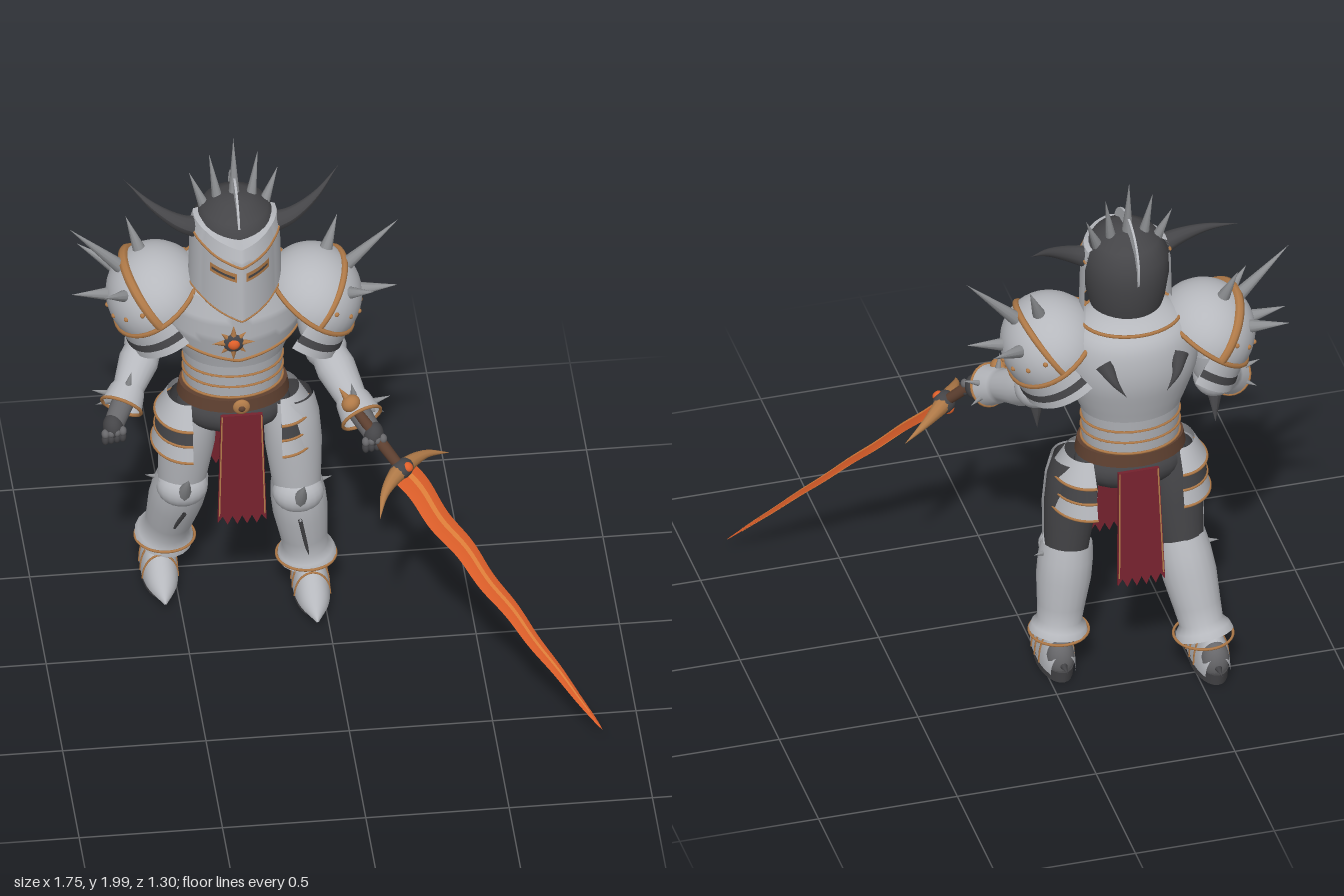
import * as THREE from 'three';
import { toCreasedNormals } from 'three/addons/utils/BufferGeometryUtils.js';
import { ParametricGeometry } from 'three/addons/geometries/ParametricGeometry.js';

const paint = (name, color) => Object.assign(new THREE.MeshStandardMaterial({ color, side: THREE.DoubleSide }), { name });
const steel = paint('steel', 0xb6b8bd), spikeSteel = paint('spike steel', 0x8f9194), dark = paint('blackened steel', 0x454548);
const bronze = paint('bronze', 0xb07a48), leather = paint('leather', 0x5e4030), cloth = paint('crimson cloth', 0x76222e);
const bladeMat = paint('orange blade', 0xe0602a), ridgeMat = paint('blade ridge', 0xe8843c), chain = paint('chain mail', 0x68686b);

const V = (x, y, z) => new THREE.Vector3(x, y, z);
const CX = -0.31; // body centre line
const UP = V(0, 1, 0);

function add(parent, name, geo, mat, x = 0, y = 0, z = 0) {
  const m = new THREE.Mesh(geo, mat);
  m.name = name;
  m.position.set(x, y, z);
  parent.add(m);
  return m;
}
// Turned shape from a to b; profile holds [fraction, radius]
function turned(p, name, mat, a, b, profile, phi = 0, arc = Math.PI * 2, seg = 20) {
  const len = a.distanceTo(b);
  const m = add(p, name, new THREE.LatheGeometry(profile.map(([t, r]) => new THREE.Vector2(r, t * len)), seg, phi, arc), mat, a.x, a.y, a.z);
  m.quaternion.setFromUnitVectors(UP, b.clone().sub(a).normalize());
  return m;
}
const spike = (p, name, mat, a, b, r) => turned(p, name, mat, a, b, [[0, 0], [0, r], [1, 0]], 0, Math.PI * 2, 10);
const tube = (p, name, mat, pts, r) => add(p, name, new THREE.TubeGeometry(new THREE.CatmullRomCurve3(pts), 40, r, 6), mat);
// Tube that tapers to a point at its end, or at both ends
function horn(p, name, mat, pts, r, both = false) {
  const n = 20, k = 10, curve = new THREE.CatmullRomCurve3(pts), geo = new THREE.TubeGeometry(curve, n, r, k);
  const pos = geo.attributes.position, v = V(0, 0, 0);
  for (let i = 0; i <= n; i++) {
    const c = curve.getPointAt(i / n), s = both ? 1 - Math.abs(2 * i / n - 1) : Math.pow(1 - i / n, 1.25);
    for (let j = 0; j <= k; j++) {
      const id = i * (k + 1) + j;
      v.fromBufferAttribute(pos, id).sub(c).multiplyScalar(s).add(c);
      pos.setXYZ(id, v.x, v.y, v.z);
    }
  }
  geo.computeVertexNormals();
  return add(p, name, geo, mat);
}
// Surface from f(u, v) returning a point
const surface = (p, name, mat, f, nu, nv, crease) => {
  const g = new ParametricGeometry((u, v, t) => t.copy(f(u, v)), nu, nv);
  return add(p, name, crease ? toCreasedNormals(g, crease) : g, mat);
};
const ball = (p, name, mat, c, sx, sy, sz) => {
  const m = add(p, name, new THREE.SphereGeometry(1, 20, 14), mat, c.x, c.y, c.z);
  m.scale.set(sx, sy, sz);
  return m;
};
const ring = (p, name, mat, x, y, z, rx, rz, r) => {
  const m = add(p, name, new THREE.TorusGeometry(1, r / rx, 6, 36), mat, x, y, z);
  m.rotation.x = Math.PI / 2;
  m.scale.set(rx, rz, rx);
  return m;
};

function head(root) {
  const g = new THREE.Group(); g.name = 'head'; root.add(g);
  const skullRows = [[.11, 1.42], [.135, 1.5], [.15, 1.6], [.146, 1.68], [.115, 1.735], [.06, 1.768], [0, 1.776]];
  const skull = add(g, 'skullCap', new THREE.LatheGeometry(skullRows.map(a => new THREE.Vector2(...a)), 32), dark, CX, 0, -.28);
  skull.scale.z = 1.1;
  const visor = (a, y, off = 0) => {
    const t = (y - 1.39) / .31, e = Math.max(0, 1 - Math.abs(a) / .9);
    const k = (t < .8 ? 1 - .05 * t : .96 - (t - .8) * .5) + off;
    return V(CX + .163 * Math.sin(a) * k, y, -.28 + (.175 * Math.cos(a) + .05 * e) * k);
  };
  const top = a => 1.705 - .02 * Math.max(0, 1 - Math.abs(a) / 1.2), bottom = a => 1.435 - .045 * Math.max(0, 1 - Math.abs(a) / 1.1);
  const brow = a => 1.665 - .045 * Math.max(0, 1 - Math.abs(a) / 1.3);
  const angle = u => (u - .5) * 3.5;
  surface(g, 'visor', steel, (u, v) => visor(angle(u), THREE.MathUtils.lerp(bottom(angle(u)), top(angle(u)), v)), 40, 12);
  surface(g, 'browPlate', steel, (u, v) => visor(angle(u), THREE.MathUtils.lerp(brow(angle(u)), top(angle(u)), v), .035), 40, 6);
  surface(g, 'browShelf', steel, (u, v) => {
    const a = angle(u), inner = V(CX + .125 * Math.sin(a), top(a) + .008, -.28 + .137 * Math.cos(a));
    return visor(a, top(a), .035).lerp(inner, v);
  }, 40, 2);
  const line = (f, off) => Array.from({ length: 25 }, (_, i) => visor(angle(i / 24), f(angle(i / 24)), off));
  tube(g, 'browTrim', bronze, line(brow, .035), .005);
  tube(g, 'chinTrim', bronze, line(bottom, .01), .003);
  for (const s of [-1, 1]) {
    surface(g, 'eyeFrame', bronze, (u, v) => visor(s * (.1 + u * .6), 1.553 + v * .036 + u * .008, .012), 8, 1);
    surface(g, 'eyeSlit', dark, (u, v) => visor(s * (.15 + u * .5), 1.566 + v * .01 + u * .008, .02), 8, 1);
    horn(g, 'sideHorn', dark, [V(CX + s * .11, 1.65, -.265), V(CX + s * .19, 1.68, -.262), V(CX + s * .28, 1.728, -.3), V(CX + s * .375, 1.788, -.39)], .044);
  }
  const crest = add(g, 'crestDisc', new THREE.CylinderGeometry(.157, .157, .008, 40), steel, CX, 1.675, -.295);
  crest.rotation.z = Math.PI / 2;
  for (const [dx, y] of [[-.155, 1.85], [-.085, 1.925], [0, 1.985], [.085, 1.925], [.155, 1.85]])
    spike(g, 'crownSpike', spikeSteel, V(CX + dx * .55, 1.67, -.29), V(CX + dx, y, -.325), .028);
}

function torso(root) {
  const g = new THREE.Group(); g.name = 'torso'; root.add(g);
  const Z = -.34, rows = [[.16, .92], [.165, 1.04], [.2, 1.14], [.233, 1.24], [.238, 1.33], [.215, 1.41], [.15, 1.46], [.09, 1.48]];
  const body = add(g, 'cuirass', new THREE.LatheGeometry(new THREE.SplineCurve(rows.map(a => new THREE.Vector2(...a))).getPoints(24), 36), steel, CX, 0, Z);
  body.scale.z = .8;
  const radius = y => {
    const i = Math.max(1, rows.findIndex(r => r[1] >= y)), [a, b] = [rows[i - 1], rows[i]];
    return a[0] + (b[0] - a[0]) * (y - a[1]) / (b[1] - a[1]);
  };
  const at = (a, y, off) => V(CX + (radius(y) + off) * Math.sin(a), y, Z + (radius(y) * .8 + off) * Math.cos(a));
  const edge = a => 1.135 + .075 * Math.abs(a) / 1.5;
  surface(g, 'breastplate', steel, (u, v) => { const a = (u - .5) * 3; return at(a, THREE.MathUtils.lerp(edge(a), 1.41, v), .012); }, 32, 10);
  tube(g, 'breastplateTrim', bronze, Array.from({ length: 21 }, (_, i) => at((i - 10) * .15, edge((i - 10) * .15), .013)), .006);
  ring(g, 'gorgetTrim', bronze, CX, 1.445, Z, .178, .143, .007);
  for (const y of [1.06, 1.015, .97]) {
    const band = add(g, 'waistLame', new THREE.CylinderGeometry(.178, .17, .045, 32, 1, true), steel, CX, y, Z);
    band.scale.z = .8;
    ring(g, 'waistTrim', bronze, CX, y - .021, Z, .174, .139, .005);
  }
  // Sun badge
  for (let i = 0; i < 8; i++) {
    const a = i * Math.PI / 4, r = i % 2 ? .062 : .075;
    spike(g, 'badgeRay', bronze, V(-.33, 1.235, -.143), V(-.33 + Math.sin(a) * r, 1.235 + Math.cos(a) * r, -.14), .02);
  }
  ball(g, 'badgeRim', dark, V(-.33, 1.235, -.138), .036, .036, .014);
  ball(g, 'badgeCore', bladeMat, V(-.33, 1.235, -.132), .022, .022, .016);
  for (const s of [-1, 1]) horn(g, 'backSpike', dark, [V(CX + s * .135, 1.35, -.485), V(CX + s * .11, 1.3, -.535), V(CX + s * .07, 1.24, -.55)], .034);
  // Belt and hips
  const belt = add(g, 'belt', new THREE.CylinderGeometry(.188, .196, .046, 36), leather, CX, .917, -.335);
  belt.scale.z = .76;
  ball(g, 'buckle', bronze, V(-.297, .917, -.187), .03, .03, .014);
  ball(g, 'buckleBoss', leather, V(-.297, .917, -.178), .013, .013, .01);
  ball(g, 'hips', dark, V(CX, .84, -.335), .2, .1, .135);
  for (const s of [-1, 1]) {
    const x = CX + s * .155;
    [[.855, .08, steel, .075, .118], [.785, .065, dark, .108, .118], [.722, .062, steel, .116, .129]].forEach(([y, h, mat, rTop, r]) => {
      const t = add(g, 'tasset', new THREE.CylinderGeometry(rTop, r, h, 20, 1, true, s > 0 ? 0 : Math.PI, Math.PI), mat, x, y, -.33);
      t.scale.z = 1.17;
      const trim = add(g, 'tassetTrim', new THREE.TorusGeometry(r, .005, 6, 20, Math.PI), bronze, x, y - h / 2, -.33);
      trim.rotation.set(Math.PI / 2, 0, -s * Math.PI / 2);
      trim.scale.x = 1.17;
    });
  }
  // Hanging cloths with ragged hems
  const shape = new THREE.Shape();
  shape.moveTo(-.073, 0); shape.lineTo(-.085, -.45);
  for (let i = 1; i < 10; i++) shape.lineTo(-.085 + i * .017, i % 2 ? -.425 : -.46);
  shape.lineTo(.085, -.45); shape.lineTo(.073, 0);
  for (const [z, tilt] of [[-.185, -.03], [-.489, .075]]) {
    const c = new THREE.Group(); c.name = 'hangingCloth'; g.add(c);
    c.position.set(-.297, .885, z); c.rotation.x = tilt;
    add(c, 'clothPanel', new THREE.ExtrudeGeometry(shape, { depth: .014, bevelEnabled: false }), cloth, 0, 0, -.007);
    for (const s of [-1, 1]) {
      const b = add(c, 'clothBorder', new THREE.BoxGeometry(.005, .42, .016), bronze, s * .074, -.212, 0);
      b.rotation.z = s * .026;
    }
  }
}

function pauldron(root, s, c) {
  const g = new THREE.Group(); g.name = s > 0 ? 'leftPauldron' : 'rightPauldron'; root.add(g);
  g.position.copy(c); g.rotation.z = -s * .63;
  add(g, 'shoulderDome', new THREE.SphereGeometry(1, 32, 16, 0, Math.PI * 2, 0, 1.6), steel).scale.set(.176, .18, .196);
  ring(g, 'domeTrim', bronze, 0, 0, 0, .178, .198, .009);
  const ridge = add(g, 'crownRidge', new THREE.TorusGeometry(.19, s > 0 ? .012 : .018, 8, 32, Math.PI), bronze, s * .01, 0, 0);
  ridge.rotation.y = Math.PI / 2; ridge.scale.y = .96;
  const start = s > 0 ? -.15 : Math.PI - .15;
  [[-.025, .06, steel, .18], [-.065, .034, dark, .188], [-.095, .034, steel, .192]].forEach(([y, h, mat, r]) => {
    const l = add(g, 'shoulderLame', new THREE.CylinderGeometry(r - .006, r + .006, h, 28, 1, true, start, Math.PI + .3), mat, 0, y, 0);
    l.scale.z = 1.05;
  });
  for (let i = 0; i < 7; i++) {
    const a = (i - 3) * .45, r = .161;
    ball(g, 'stud', bronze, V(s * Math.cos(a) * r, .07, Math.sin(a) * r * 1.11), .009, .009, .009);
  }
  for (const t of [V(.305, .3, 0), V(.26, .1, -.18), V(.3, .03, .02), V(.2, .12, .17), V(.1, .28, -.08)]) {
    t.x *= s;
    const n = t.clone().normalize();
    spike(root, 'shoulderSpike', spikeSteel, c.clone().addScaledVector(n, .15), c.clone().add(t), .028);
  }
}

function arm(root, s, shoulder, elbow, wrist, hand, elbowTip) {
  const g = new THREE.Group(); g.name = s > 0 ? 'leftArm' : 'rightArm'; root.add(g);
  turned(g, 'upperArm', steel, elbow, shoulder, [[0, .062], [.5, .075], [1, .075]]);
  ball(g, 'elbowGuard', steel, elbow, .075, .075, .075);
  spike(g, 'elbowSpike', dark, elbow, elbowTip, .042);
  turned(g, 'forearm', steel, elbow, wrist, [[0, .06], [.3, .07], [.7, .055], [.75, .062], [1, .074]]);
  const rim = add(g, 'cuffTrim', new THREE.TorusGeometry(.073, .006, 6, 24), bronze, wrist.x, wrist.y, wrist.z);
  rim.quaternion.setFromUnitVectors(V(0, 0, 1), wrist.clone().sub(elbow).normalize());
  const mid = elbow.clone().lerp(wrist, .85);
  for (const [x, y, z] of [[s * .12, .04, 0], [s * .1, -.05, -.03], [-s * .02, .12, .02]]) spike(g, 'cuffSpike', spikeSteel, mid, mid.clone().add(V(x, y, z)), .024);
  turned(g, 'wrist', chain, wrist.clone().lerp(elbow, .1), hand, [[0, .04], [1, .035]]);
  ball(g, 'palm', dark, hand, .036, .045, .045);
  for (let i = 0; i < 4; i++) {
    const f = hand.clone().add(V((i - 1.5) * .02, -.01 + i * .003, .03));
    ball(g, 'knuckle', chain, f, .014, .017, .017);
    ball(g, 'finger', dark, f.add(V(0, -.025, -.002)), .013, .022, .016);
  }
}

function leg(root, s, hip, knee, ankle) {
  const g = new THREE.Group(); g.name = s > 0 ? 'leftLeg' : 'rightLeg'; root.add(g);
  turned(g, 'thigh', dark, knee, hip, [[0, .076], [.5, .092], [.8, .09], [1, .075]]);
  turned(g, 'thighPlate', steel, knee, hip, [[.05, .084], [.5, .1], [.8, .098], [1, .084]], -1.5, 3);
  turned(g, 'greave', steel, ankle, knee, [[-.05, .104], [.03, .096], [.1, .078], [.3, .084], [.65, .096], [.9, .096], [1.1, .09]]);
  const k = knee.clone().add(V(0, 0, .03));
  ball(g, 'kneeCap', steel, k, .09, .075, .078);
  spike(g, 'kneeSpike', spikeSteel, k.clone().add(V(0, .0, .05)), k.clone().add(V(.01, .105, .115)), .03);
  spike(g, 'kneeWing', spikeSteel, knee, knee.clone().add(V(s * .125, .01, -.03)), .03);
  ring(g, 'ankleTrim', bronze, ankle.x, ankle.y - .016, ankle.z, .104, .104, .005);
  turned(g, 'shinGroove', dark, ankle.clone().add(V(0, .03, .074)), knee.clone().add(V(0, -.08, .094)), [[0, .007], [1, .007]]);
  // Armoured shoe: shape holds length along the foot, half width and height
  const x = ankle.x + (s > 0 ? .012 : -.025), z = ankle.z;
  const form = new THREE.CatmullRomCurve3([V(-.1, .045, .08), V(-.04, .06, .14), V(.03, .064, .125), V(.1, .06, .085), V(.16, .046, .05), V(.25, .002, .004)]);
  const shell = (u, v, k = 1) => {
    const p = form.getPoint(v), a = u * Math.PI;
    return V(x + p.y * k * Math.cos(a), .035 + p.z * k * Math.sin(a), z + p.x);
  };
  surface(g, 'shoe', steel, shell, 16, 20);
  for (const v of [.28, .42, .56]) tube(g, 'shoeTrim', bronze, Array.from({ length: 9 }, (_, i) => shell(i / 8, v, 1.01)), .004);
  const sole = add(g, 'sole', new THREE.CylinderGeometry(.064, .06, .046, 24), dark, x, .023, z + .03);
  sole.scale.z = 2.3;
  ball(g, 'heel', chain, V(x, .08, z - .06), .05, .075, .05);
  spike(g, 'heelSpur', dark, V(x, .07, z - .08), V(x, .068, z - .155), .02);
}

function sword(root) {
  const g = new THREE.Group(); g.name = 'sword'; root.add(g);
  const d = V(.63, -.79, .5).normalize(), side = V(.638, 0, -.77);
  side.addScaledVector(d, -side.dot(d)).normalize();
  g.matrix.makeBasis(side, d, side.clone().cross(d)).setPosition(.235, .835, .15);
  g.matrix.decompose(g.position, g.quaternion, g.scale);
  const L = 1.13, wave = v => .009 * Math.sin(v * 26) * (1 - v), taper = v => Math.pow(1 - v, .62), thick = v => .013 * Math.sqrt(1 - v);
  surface(g, 'blade', bladeMat, (u, v) => {
    const a = u * Math.PI * 2;
    return V(Math.cos(a) * .064 * taper(v) + wave(v), v * L, Math.sin(a) * thick(v));
  }, 4, 60, .5);
  for (const s of [-1, 1]) surface(g, 'bladeRidge', ridgeMat, (u, v) => {
    const t = v * .93;
    return V((u - .5) * .024 * taper(t) + wave(t), t * L, s * (thick(t) + .001));
  }, 1, 60);
  horn(g, 'crossguard', bronze, [V(-.225, .055, 0), V(-.13, .0, 0), V(0, -.02, 0), V(.13, .0, 0), V(.225, .055, 0)], .034, true);
  ball(g, 'guardBoss', dark, V(0, -.02, 0), .05, .035, .04);
  for (const s of [-1, 1]) ball(g, 'guardGem', bladeMat, V(0, -.015, s * .035), .018, .018, .012);
  turned(g, 'grip', leather, V(0, -.3, 0), V(0, 0, 0), [[0, .016], [.5, .021], [1, .018]]);
  ball(g, 'pommel', bronze, V(0, -.31, 0), .034, .03, .034);
  spike(g, 'pommelSpike', bronze, V(0, -.32, 0), V(0, -.38, 0), .018);
}

export function createModel() {
  const root = new THREE.Group();
  root.name = 'spikedKnight';
  head(root);
  torso(root);
  pauldron(root, 1, V(-.045, 1.325, -.27));
  pauldron(root, -1, V(-.575, 1.325, -.34));
  arm(root, 1, V(-.03, 1.27, -.28), V(.0, 1.12, -.23), V(.1, .985, .01), V(.135, .95, .06), V(.0, .96, -.25));
  arm(root, -1, V(-.59, 1.27, -.35), V(-.615, 1.12, -.33), V(-.72, .985, -.15), V(-.755, .94, -.1), V(-.6, .97, -.4));
  leg(root, 1, V(-.115, .87, -.32), V(-.09, .47, -.3), V(-.055, .17, -.33));
  leg(root, -1, V(-.455, .87, -.34), V(-.485, .47, -.38), V(-.53, .17, -.49));
  sword(root);
  return root;
}
